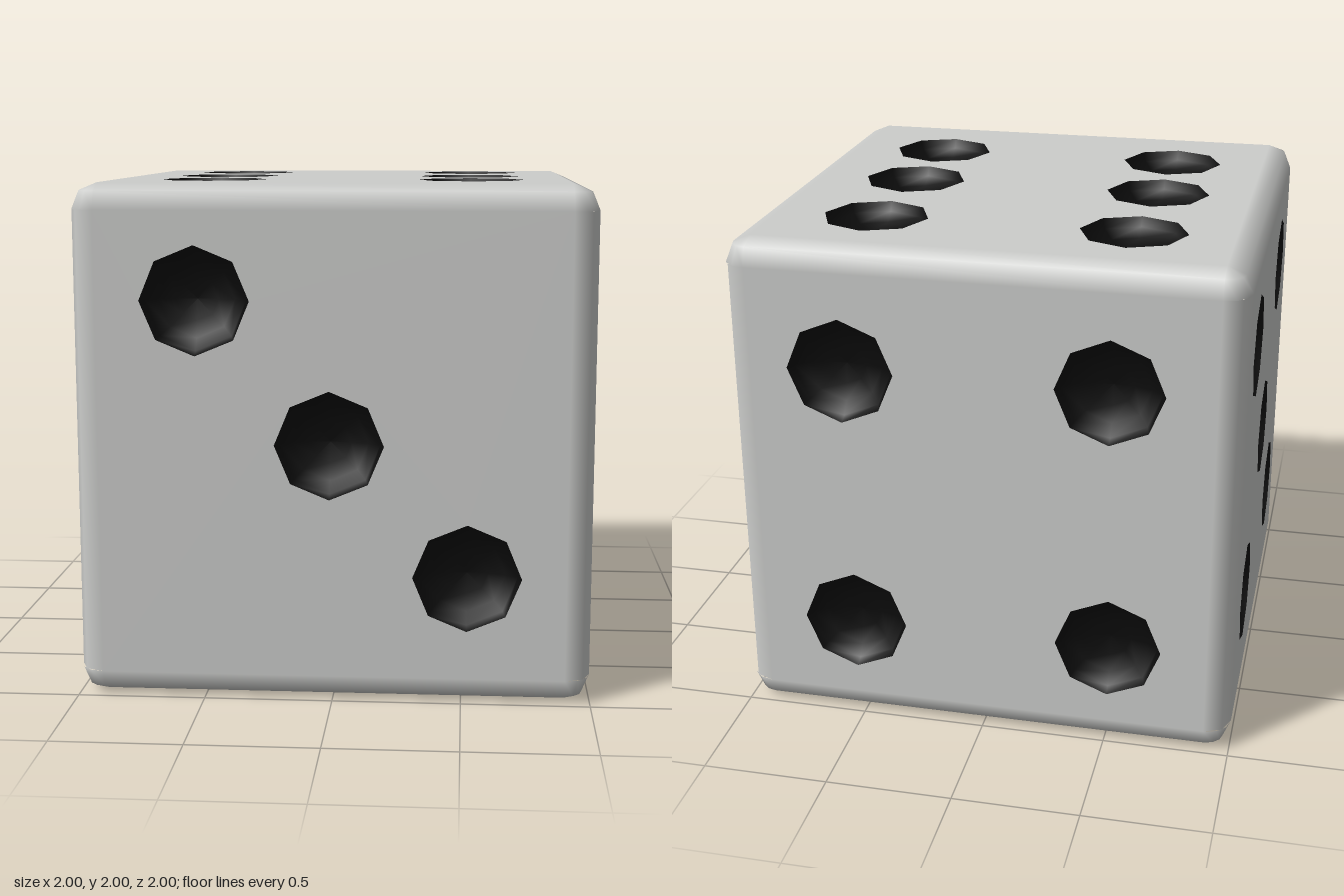
import * as THREE from 'three';
import { mergeGeometries } from 'three/addons/utils/BufferGeometryUtils.js';

const BEVEL = 0.1;        // rounding of the cube edges
const FLAT = 1 - BEVEL;   // half width of each flat face
const PIP = 0.21;         // pip radius
const DEPTH = 0.1;        // pip depth

// Each face: name, rotation from the front, pip centres (right, up) seen face on
const FACES = [
  ['front', [0, 0, 0], [[-0.52, 0.56], [-0.01, 0.01], [0.52, -0.5]]],
  ['back', [0, Math.PI, 0], [[-0.54, 0.51], [0.5, 0.51], [-0.52, -0.57], [0.51, -0.57]]],
  ['left', [0, Math.PI / 2, 0], [[-0.51, 0.56], [0.52, -0.52]]],
  ['right', [0, -Math.PI / 2, 0], [[-0.52, 0.56], [0.51, 0.56], [0, 0], [0.53, -0.52], [-0.51, -0.52]]],
  ['top', [-Math.PI / 2, 0, 0], [[-0.51, 0.56], [0.51, 0.56], [-0.52, 0], [0.51, 0], [-0.51, -0.5], [0.52, -0.5]]],
  ['bottom', [Math.PI / 2, 0, 0], [[0, 0]]],
];

// Flat square with an octagonal hole for each pip
function faceGeometry(pips) {
  const square = new THREE.Shape([[-1, -1], [1, -1], [1, 1], [-1, 1]]
    .map(([x, y]) => new THREE.Vector2(x * FLAT, y * FLAT)));
  for (const [x, y] of pips) {
    const corners = [];
    for (let i = 0; i < 8; i++) {
      const a = -i * Math.PI / 4;
      corners.push(new THREE.Vector2(x + PIP * Math.cos(a), y + PIP * Math.sin(a)));
    }
    square.holes.push(new THREE.Path(corners));
  }
  return new THREE.ShapeGeometry(square);
}

// Shallow eight-sided bowl sunk into the face
function pipGeometry() {
  const profile = [];
  for (let i = 0; i <= 4; i++) {
    const a = i * Math.PI / 8;
    profile.push(new THREE.Vector2(PIP * Math.sin(a), -DEPTH * Math.cos(a)));
  }
  return new THREE.LatheGeometry(profile, 8).rotateX(Math.PI / 2);
}

// Twelve quarter-round edges and eight rounded corners
function roundingGeometry() {
  const parts = [];
  for (let i = 0; i < 4; i++) {
    const turn = i * Math.PI / 2;
    const edge = () => new THREE.CylinderGeometry(BEVEL, BEVEL, 2 * FLAT, 2, 1, true, 0, Math.PI / 2)
      .translate(FLAT, 0, FLAT).rotateY(turn);
    parts.push(edge(), edge().rotateX(Math.PI / 2), edge().rotateZ(Math.PI / 2));
    for (const flip of [0, Math.PI]) {
      parts.push(new THREE.SphereGeometry(BEVEL, 2, 2, Math.PI / 2, Math.PI / 2, 0, Math.PI / 2)
        .translate(FLAT, FLAT, FLAT).rotateY(turn).rotateX(flip));
    }
  }
  return mergeGeometries(parts);
}

export function createModel() {
  const ivory = new THREE.MeshStandardMaterial({ name: 'light grey body', color: 0xcccdcb });
  const black = new THREE.MeshStandardMaterial({ name: 'black pips', color: 0x0b0b0b, side: THREE.DoubleSide });

  const die = new THREE.Group();
  die.name = 'die';

  const rounding = new THREE.Mesh(roundingGeometry(), ivory);
  rounding.name = 'roundedEdges';
  rounding.position.y = 1;
  die.add(rounding);

  const bowl = pipGeometry();
  for (const [name, rotation, pips] of FACES) {
    const side = new THREE.Group();
    side.name = name + 'Side';
    side.position.y = 1;
    side.rotation.set(...rotation);

    const face = new THREE.Mesh(faceGeometry(pips), ivory);
    face.name = name + 'Face';
    face.position.z = 1;
    side.add(face);

    for (const [x, y] of pips) {
      const pip = new THREE.Mesh(bowl, black);
      pip.name = name + 'Pip';
      pip.position.set(x, y, 1);
      side.add(pip);
    }
    die.add(side);
  }
  return die;
}
